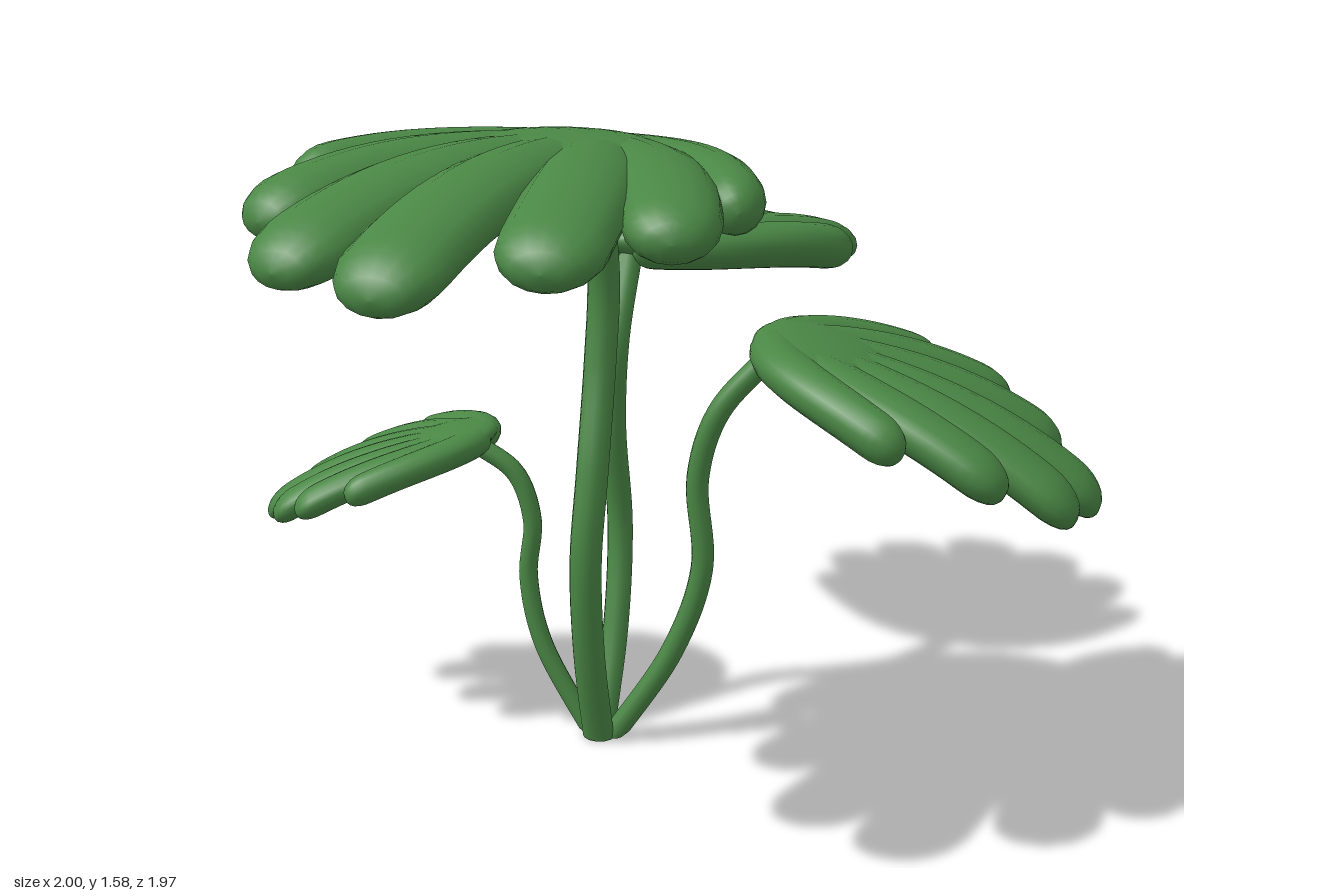
import * as THREE from 'three';

const green = new THREE.MeshStandardMaterial({ color: 0x4a8745 });
green.name = 'leafGreen';

// One lobe of a leaf: a flattened tube with blunt ends, running from the hub (0, 0.1) to its tip.
// Local plan: z runs along the leaf, x across it.
function lobeGeometry(control, tip, tipHalfWidth) {
  const rings = 28, sides = 16, pos = [], idx = [];
  const curve = new THREE.QuadraticBezierCurve(
    new THREE.Vector2(0, 0.1), new THREE.Vector2(...control), new THREE.Vector2(...tip));
  for (let i = 0; i <= rings; i++) {
    const t = (1 - Math.cos(Math.PI * i / rings)) / 2;
    const p = curve.getPoint(t), d = curve.getTangent(t);
    // Rounded closing at both ends
    const k = t < 0.1 ? 1 - t / 0.1 : t > 0.9 ? (t - 0.9) / 0.1 : 0;
    const cap = Math.pow(Math.max(0, 1 - k * k), 0.38);
    const hw = (THREE.MathUtils.lerp(0.095, tipHalfWidth, t) + 0.012 * Math.sin(Math.PI * t)) * cap;
    const hh = 0.068 * cap;
    // The whole leaf arches along its length, and each tip droops
    const q = p.y / 1.23;
    const y = 0.042 * Math.sin(Math.PI * q) - 0.045 * q ** 4 - 0.035 * t ** 4;
    for (let j = 0; j < sides; j++) {
      const a = j / sides * Math.PI * 2, w = Math.cos(a) * hw;
      pos.push(p.x + d.y * w, y + Math.sin(a) * hh, p.y - d.x * w);
    }
  }
  for (let i = 0; i < rings; i++) {
    for (let j = 0; j < sides; j++) {
      const a = i * sides + j, b = i * sides + (j + 1) % sides;
      idx.push(a, b, a + sides, b, b + sides, a + sides);
    }
  }
  const g = new THREE.BufferGeometry();
  g.setAttribute('position', new THREE.Float32BufferAttribute(pos, 3));
  g.setIndex(idx);
  g.computeVertexNormals();
  return g;
}

// Seven lobes, slightly uneven from side to side: [control, tip, half width at the tip]
const lobeGeometries = [
  [[0.29, 0.1], [0.525, 0.57], 0.066],
  [[0.29, 0.3], [0.485, 0.85], 0.1],
  [[0.2, 0.5], [0.3, 1.06], 0.113],
  [[0.01, 0.65], [0.025, 1.23], 0.116],
  [[-0.15, 0.5], [-0.225, 1.16], 0.113],
  [[-0.27, 0.3], [-0.4, 0.92], 0.1],
  [[-0.295, 0.1], [-0.5, 0.59], 0.068],
].map(l => lobeGeometry(...l));

// Smooth rounded pad where the lobes merge
const padGeometry = new THREE.SphereGeometry(1, 32, 20);
padGeometry.scale(0.31, 0.078, 0.28);
padGeometry.translate(0, 0.025, 0.285);

function makeLeaf({ name, hub, dir, tilt, scale }) {
  const leaf = new THREE.Group();
  leaf.name = name + 'Leaf';
  for (const g of [...lobeGeometries, padGeometry]) {
    const m = new THREE.Mesh(g, green);
    m.name = g === padGeometry ? 'leafHub' : 'leafLobe';
    leaf.add(m);
  }
  leaf.position.set(...hub);
  leaf.rotation.order = 'YXZ';
  leaf.rotation.y = Math.atan2(dir[0], dir[1]);
  leaf.rotation.x = THREE.MathUtils.degToRad(tilt);
  leaf.scale.set(...scale);
  return leaf;
}

// Bent stem, cut flat at the ground
function makeStem({ name, stem, radius }) {
  const curve = new THREE.CatmullRomCurve3(stem.map(p => new THREE.Vector3(...p)));
  const g = new THREE.TubeGeometry(curve, 40, radius, 12);
  const p = g.attributes.position;
  for (let i = 0; i < p.count; i++) p.setY(i, Math.max(0, p.getY(i)));
  const m = new THREE.Mesh(g, green);
  m.name = name + 'Stem';
  return m;
}

const plants = [
  {
    name: 'frontRight', hub: [-0.03, 1.472, -0.005], dir: [-0.68, 0.73], tilt: 0, scale: [1, 1, 0.99], radius: 0.04,
    stem: [[-0.065, -0.02, 0.02], [-0.11, 0.25, 0.07], [-0.125, 0.5, 0.09], [-0.1, 0.72, 0.07],
      [-0.055, 0.98, 0.005], [-0.04, 1.18, -0.01], [-0.085, 1.45, 0.05]],
  },
  {
    name: 'backLeft', hub: [0.06, 1.213, -0.15], dir: [0.67, -0.74], tilt: 7, scale: [0.87, 0.86, 0.82], radius: 0.033,
    stem: [[-0.045, -0.02, -0.02], [0.025, 0.25, -0.1], [0.055, 0.5, -0.15], [0.025, 0.78, -0.12],
      [0.03, 1, -0.11], [0.1, 1.2, -0.2]],
  },
  {
    name: 'frontLeft', hub: [0.255, 1.05, 0.2], dir: [0.82, 0.57], tilt: 19, scale: [0.77, 0.8, 0.735], radius: 0.028,
    stem: [[-0.04, -0.02, 0.02], [0.1, 0.25, 0.11], [0.16, 0.47, 0.145], [0.15, 0.7, 0.135],
      [0.19, 0.87, 0.165], [0.3, 1.02, 0.225]],
  },
  {
    name: 'backRight', hub: [-0.265, 0.762, -0.17], dir: [-0.81, -0.58], tilt: 18, scale: [0.56, 0.56, 0.535], radius: 0.024,
    stem: [[-0.065, -0.02, -0.01], [-0.175, 0.23, -0.1], [-0.2, 0.4, -0.13], [-0.19, 0.55, -0.125],
      [-0.225, 0.67, -0.15], [-0.31, 0.74, -0.2]],
  },
];

export function createModel() {
  const model = new THREE.Group();
  model.name = 'plant';
  for (const p of plants) model.add(makeStem(p), makeLeaf(p));
  // Flat underside where the stems meet
  const base = new THREE.Mesh(new THREE.CircleGeometry(0.045, 16), green);
  base.name = 'stemBase';
  base.rotation.x = Math.PI / 2;
  base.position.set(-0.055, 0, 0);
  model.add(base);
  return model;
}
